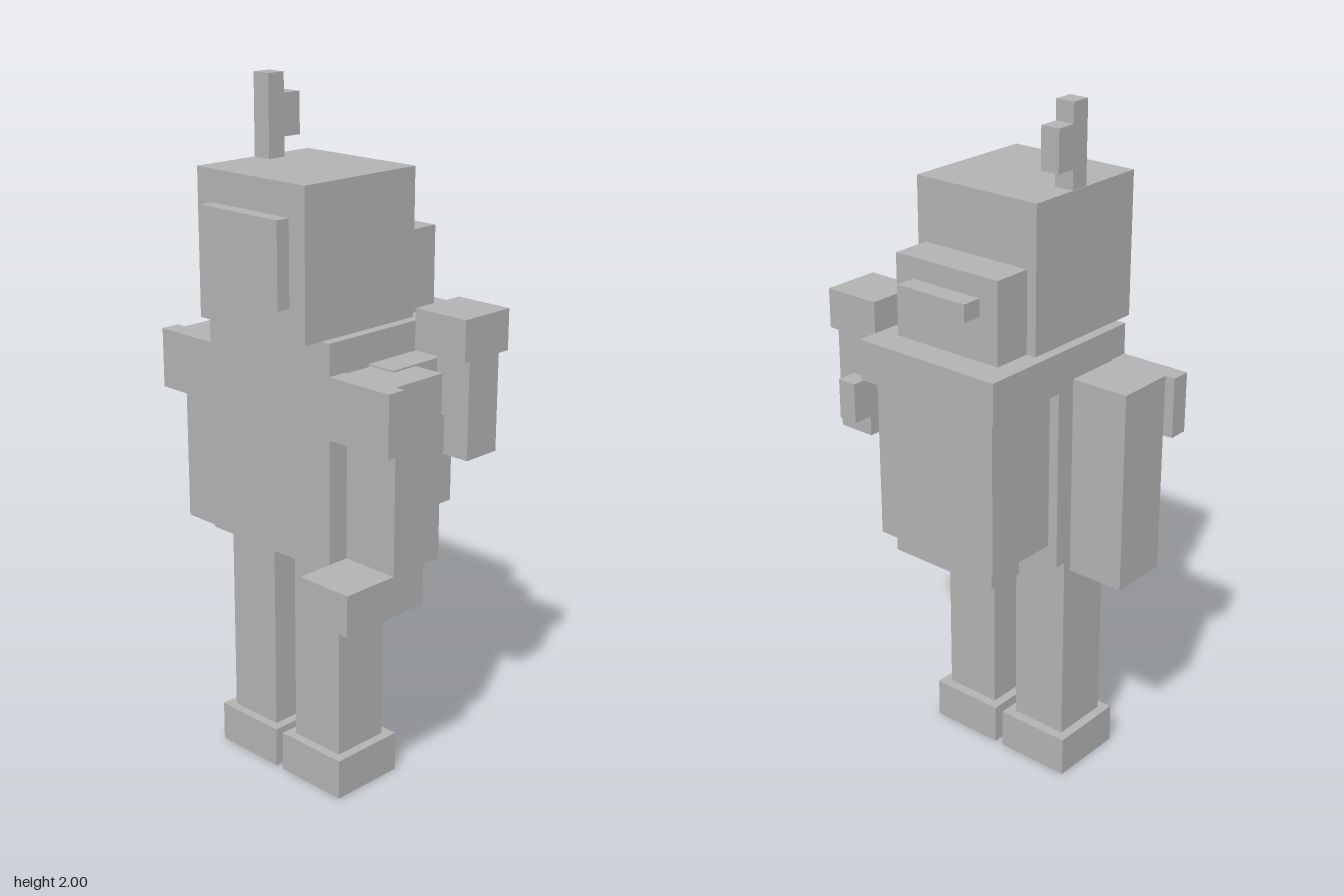
import * as THREE from 'three';

export function createModel() {
  const model = new THREE.Group();
  model.name = 'blockRobot';
  const grey = new THREE.MeshStandardMaterial({ color: 0xb3b3b3 });
  grey.name = 'plainGrey';

  // Box given by its lower and upper limits on each axis
  const block = (name, [x0, x1], [y0, y1], [z0, z1]) => {
    const mesh = new THREE.Mesh(new THREE.BoxGeometry(x1 - x0, y1 - y0, z1 - z0), grey);
    mesh.position.set((x0 + x1) / 2, (y0 + y1) / 2, (z0 + z1) / 2);
    mesh.name = name;
    model.add(mesh);
  };

  // Legs and feet
  for (const [side, x] of [['right', -0.147], ['left', 0.113]]) {
    block(side + 'Leg', [x - 0.088, x + 0.088], [0.12, 0.71], [-0.015, 0.163]);
    block(side + 'Foot', [x - 0.116, x + 0.116], [0, 0.12], [-0.044, 0.19]);
  }

  // Body
  block('torso', [-0.25, 0.22], [0.71, 1.355], [-0.07, 0.22]);
  block('sideTab', [0.18, 0.22], [0.83, 1.24], [-0.10, -0.07]);

  // Head with face plate and antenna
  block('head', [-0.22, 0.19], [1.355, 1.77], [-0.133, 0.278]);
  block('facePlate', [-0.16, 0.132], [1.443, 1.68], [0.278, 0.32]);
  block('antenna', [-0.218, -0.16], [1.77, 2], [0.015, 0.072]);
  block('antennaFlag', [-0.218, -0.16], [1.825, 1.943], [-0.044, 0.015]);

  // Module and ridge behind the head
  block('headModule', [-0.19, 0.162], [1.355, 1.59], [-0.25, -0.133]);
  block('headRidge', [-0.13, 0.103], [1.48, 1.53], [-0.31, -0.25]);

  // Backpack
  block('packLid', [-0.25, 0.22], [1.238, 1.355], [-0.338, -0.07]);
  block('pack', [-0.22, 0.19], [0.77, 1.238], [-0.308, -0.07]);
  block('packFootBar', [-0.19, 0.162], [0.71, 0.77], [-0.278, -0.16]);

  // Shoulder plates and arms
  block('rightShoulder', [-0.46, -0.25], [1.09, 1.265], [0.162, 0.22]);
  block('leftShoulder', [0.22, 0.433], [1.09, 1.265], [0.162, 0.22]);
  block('rightArm', [-0.43, -0.255], [0.68, 1.265], [-0.015, 0.162]);
  block('leftArm', [0.228, 0.404], [0.738, 1.265], [-0.015, 0.162]);
  block('leftHand', [0.228, 0.404], [0.62, 0.738], [0.045, 0.338]);

  // Device carried behind the left shoulder
  block('deviceBracket', [0.22, 0.31], [1.16, 1.27], [-0.163, 0.072]);
  block('devicePost', [0.31, 0.425], [1.003, 1.297], [-0.22, -0.10]);
  block('deviceHead', [0.28, 0.456], [1.297, 1.413], [-0.22, -0.044]);
  block('deviceKnob', [0.31, 0.369], [1.062, 1.18], [-0.28, -0.22]);
  block('deviceCatch', [0.25, 0.34], [1.003, 1.12], [-0.10, -0.044]);

  return model;
}
